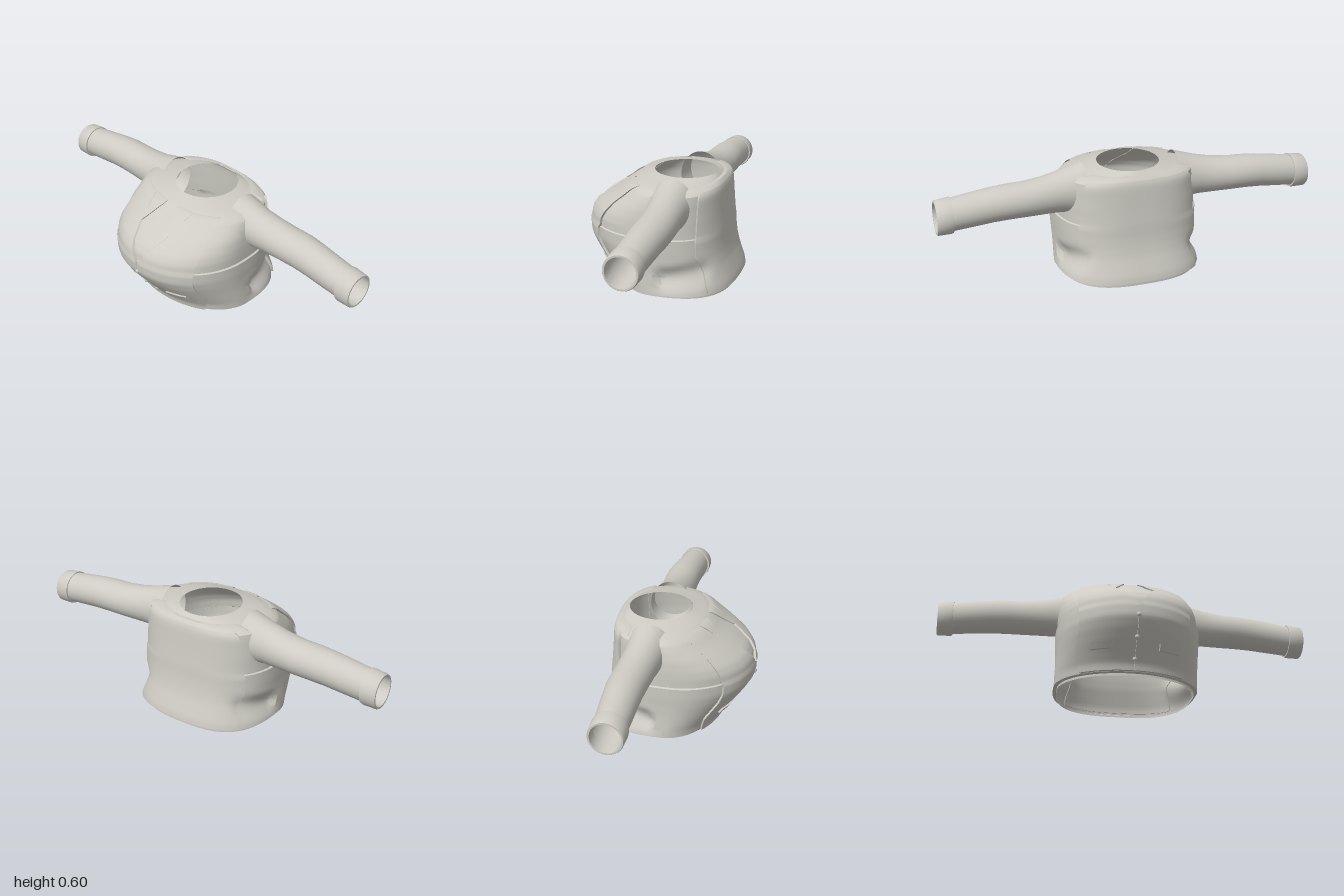
import * as THREE from 'three';
import { toCreasedNormals } from 'three/addons/utils/BufferGeometryUtils.js';

const cloth = new THREE.MeshStandardMaterial({ color: 0xcdcbc3, side: THREE.DoubleSide });
cloth.name = 'paleGreyCloth';

// Torso sections: height, half width, front z, back z, widest z, back squareness
const SECTIONS = [
  [0, 0.36, 0.215, -0.385, -0.03, 2.8], [0.012, 0.36, 0.215, -0.385, -0.03, 2.8],
  [0.016, 0.378, 0.23, -0.392, -0.03, 2.8], [0.05, 0.377, 0.24, -0.387, -0.02, 2.8],
  [0.1, 0.374, 0.278, -0.37, 0, 2.8], [0.15, 0.373, 0.32, -0.353, 0.01, 2.8],
  [0.2, 0.374, 0.358, -0.342, 0.02, 2.8], [0.25, 0.377, 0.388, -0.335, 0.02, 2.8],
  [0.31, 0.378, 0.393, -0.331, 0.02, 2.8], [0.314, 0.368, 0.389, -0.331, 0.02, 2.8],
  [0.36, 0.368, 0.382, -0.326, 0.02, 2.8], [0.4, 0.367, 0.356, -0.322, 0.01, 2.8],
  [0.45, 0.362, 0.288, -0.318, 0, 2.8], [0.5, 0.352, 0.212, -0.314, -0.03, 2.8],
  [0.53, 0.342, 0.175, -0.31, -0.05, 2.8], [0.55, 0.31, 0.145, -0.3, -0.06, 2.6],
  [0.58, 0.16, 0.06, -0.27, -0.105, 2],
];

// Linear lookup in rows whose first number is the key
function lookup(rows, key) {
  let i = 0;
  while (i < rows.length - 2 && key > rows[i + 1][0]) i++;
  const f = THREE.MathUtils.clamp((key - rows[i][0]) / (rows[i + 1][0] - rows[i][0]), 0, 1);
  return rows[i].slice(1).map((v, k) => v + (rows[i + 1][k + 1] - v) * f);
}

// Point on the torso at angle t (0 = front), pushed outward by off
function torsoPoint(t, y, off = 0) {
  const [a, zf, zb, zc, n] = lookup(SECTIONS, y);
  const s = Math.sin(t), c = Math.cos(t);
  const p = c >= 0 ? 1 : 2 / n;
  let x = a * Math.sign(s) * Math.pow(Math.abs(s), p);
  const z = c >= 0 ? zc + (zf - zc) * c : zc - (zc - zb) * Math.pow(-c, p);
  // Tucked fold above each hip
  const S = THREE.MathUtils.smoothstep;
  const along = S(-z, 0.055, 0.085) * (1 - S(-z, 0.26, 0.33));
  const crease = 0.1 + 0.2 * Math.max(0, -z - 0.08);
  x *= 1 - 0.09 * along * (1 - S(y, crease, crease + 0.08)) * S(y, 0.016, crease);
  return [x + off * s, y, z + off * c];
}

// Skin over a grid of points
function grid(rows, cols, at) {
  const pos = [], index = [];
  for (let r = 0; r <= rows; r++) {
    for (let c = 0; c <= cols; c++) {
      pos.push(...at(r, c));
      if (r < rows && c < cols) {
        const i = r * (cols + 1) + c, j = i + cols + 1;
        index.push(i, i + 1, j, i + 1, j + 1, j);
      }
    }
  }
  const g = new THREE.BufferGeometry();
  g.setAttribute('position', new THREE.Float32BufferAttribute(pos, 3));
  g.setIndex(index);
  return toCreasedNormals(g, 0.6);
}

function add(parent, name, geometry) {
  const m = new THREE.Mesh(geometry, cloth);
  m.name = name;
  parent.add(m);
  return m;
}

// Raised cloth panel lying on the torso, with rims turned in to the body
function panel(y0, y1, from, to, off, rows, cols) {
  return grid(rows + 2, cols + 2, (r, c) => {
    const v = THREE.MathUtils.clamp((r - 1) / rows, 0, 1);
    const u = THREE.MathUtils.clamp((c - 1) / cols, 0, 1);
    const rim = r === 0 || c === 0 || r === rows + 2 || c === cols + 2;
    const y = y0 + (y1 - y0) * v;
    return torsoPoint(from(y) + (to(y) - from(y)) * u, y, rim ? -0.004 : off);
  });
}

// Angle of a front point by x, and of a back point by z
const frontAngle = (x, y) => Math.asin(x / lookup(SECTIONS, y)[0]);
function backAngle(z, y) {
  const [, , zb, zc, n] = lookup(SECTIONS, y);
  return Math.acos(-Math.pow(Math.min(1, (zc - z) / (zc - zb)), n / 2));
}

// Front panel bounded by two tables of x against y, mirrored by side
function frontPanel(side, y0, y1, inner, outer, off, rows, cols) {
  const a = (y) => side * frontAngle(lookup(inner, y)[0], y);
  const b = (y) => side * frontAngle(lookup(outer, y)[0], y);
  return panel(y0, y1, side > 0 ? a : b, side > 0 ? b : a, off, rows, cols);
}

// Tube along x from rows of [x, centre y, centre z, radius y, radius z]
function sleeve(side, rows) {
  return grid(rows.length - 1, 40, (r, c) => {
    const [x, y, z, ry, rz] = rows[r], t = side * c / 40 * Math.PI * 2;
    return [side * x, y + ry * Math.cos(t), z + rz * Math.sin(t)];
  });
}

export function createModel() {
  const model = new THREE.Group();
  model.name = 'vestAndShirt';

  // Shirt body, open at the neck and the waist
  const ys = [0];
  for (let i = 1; i < SECTIONS.length; i++) {
    const p = SECTIONS[i - 1][0];
    for (let k = 1; k <= 3; k++) ys.push(p + (SECTIONS[i][0] - p) * k / 3);
  }
  add(model, 'shirtBody', grid(ys.length - 1, 112, (r, c) => torsoPoint(c / 112 * Math.PI * 2, ys[r])));

  // Back of the vest and its collar band
  const backEdge = [[0.02, -0.315], [0.13, -0.28], [0.2, -0.25], [0.31, -0.245], [0.55, -0.25]];
  const edge = (y) => backAngle(lookup(backEdge, y)[0], y);
  add(model, 'vestBack', panel(0.025, 0.55, edge, (y) => Math.PI * 2 - edge(y), 0.014, 32, 40));
  const band = (y) => backAngle(-0.2, y);
  add(model, 'backCollar', panel(0.545, 0.562, band, (y) => Math.PI * 2 - band(y), 0.018, 2, 40));

  const vestInner = [[0, 0.001], [0.3, 0.001], [0.46, 0.1], [0.55, 0.13]];
  const vestOuter = [[0, 0.255], [0.05, 0.265], [0.1, 0.285], [0.2, 0.275], [0.31, 0.275],
    [0.4, 0.28], [0.5, 0.265], [0.55, 0.255]];
  const sleeveRows = [[0.25, 0.465, -0.11, 0.135, 0.115], [0.3, 0.463, -0.112, 0.122, 0.108],
    [0.37, 0.458, -0.115, 0.107, 0.098], [0.45, 0.451, -0.122, 0.097, 0.095],
    [0.55, 0.446, -0.128, 0.09, 0.095], [0.64, 0.445, -0.13, 0.089, 0.094],
    [0.72, 0.439, -0.128, 0.088, 0.09], [0.82, 0.426, -0.125, 0.086, 0.086],
    [0.93, 0.412, -0.123, 0.083, 0.081]];
  const cuffRows = [[0.92, 0.411, -0.122, 0.081, 0.08], [0.92, 0.411, -0.122, 0.09, 0.089],
    [0.93, 0.409, -0.122, 0.092, 0.09], [0.995, 0.404, -0.122, 0.088, 0.087],
    [1, 0.404, -0.122, 0.085, 0.084], [1, 0.404, -0.122, 0.076, 0.076],
    [0.93, 0.41, -0.122, 0.076, 0.076]];

  for (const [side, label] of [[1, 'left'], [-1, 'right']]) {
    // Vest front, collar wing and pocket
    add(model, label + 'VestFront', frontPanel(side, 0.018, 0.55, vestInner, vestOuter, 0.013, 40, 16));
    add(model, label + 'CollarWing', frontPanel(side, 0.46, 0.552,
      [[0.46, 0.1], [0.552, 0.035]], [[0.46, 0.104], [0.552, 0.125]], 0.012, 6, 5));
    add(model, label + 'Pocket', frontPanel(side, 0.11, 0.14,
      [[0, 0.115], [1, 0.115]], [[0, 0.215], [1, 0.215]], 0.024, 2, 6));
    // Sleeve and hollow cuff
    add(model, label + 'Sleeve', sleeve(side, sleeveRows));
    add(model, label + 'Cuff', sleeve(side, cuffRows));
  }

  // Buttons down the middle
  for (const y of [0.255, 0.16, 0.07]) {
    const b = add(model, 'button', new THREE.SphereGeometry(0.012, 16, 10));
    b.position.set(...torsoPoint(0, y, 0.011));
    b.scale.z = 0.8;
  }
  return model;
}
